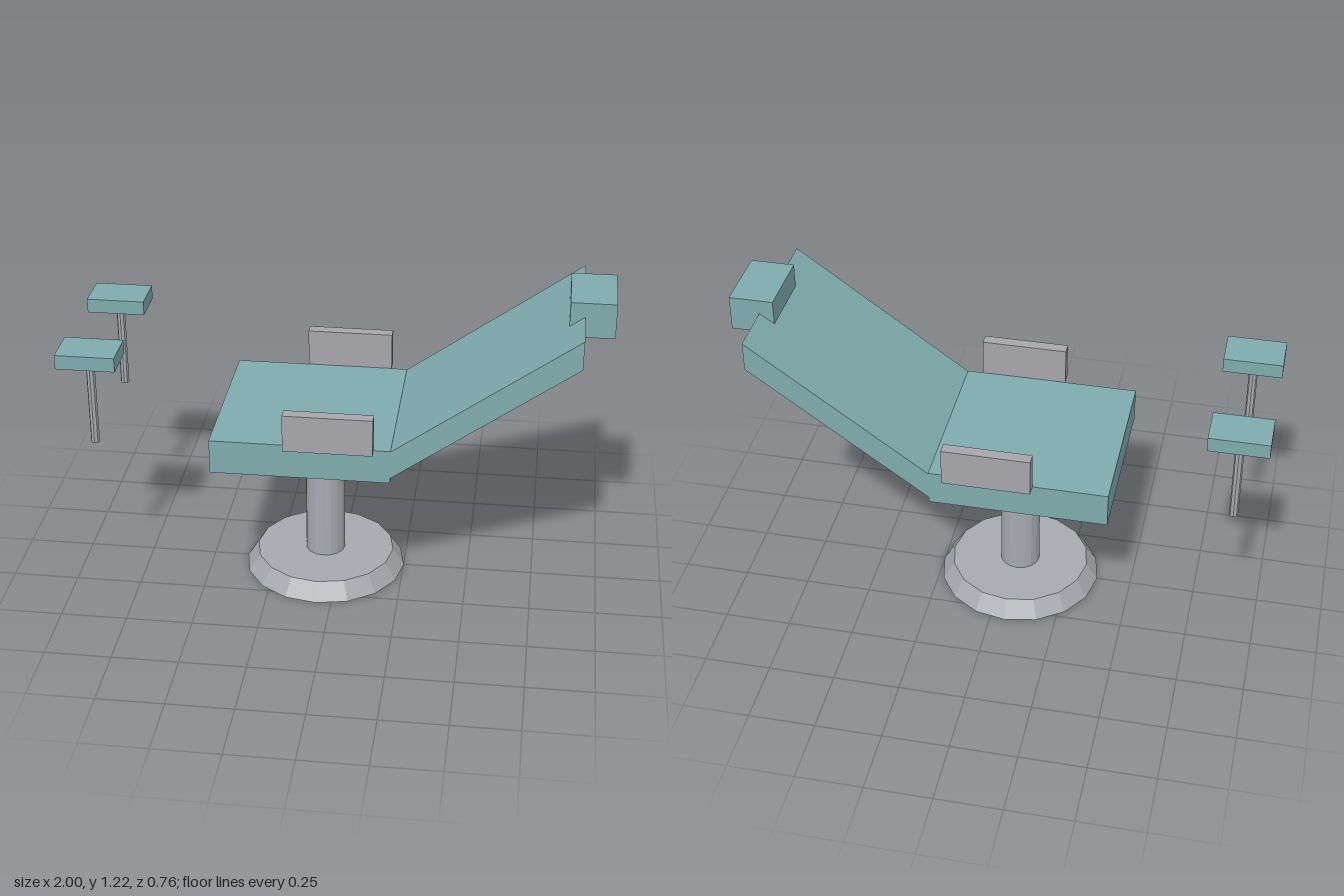
import * as THREE from 'three';

const material = (name, color) => {
  const m = new THREE.MeshStandardMaterial({ color, flatShading: true });
  m.name = name;
  return m;
};

export function createModel() {
  const model = new THREE.Group();
  model.name = 'reclinedChair';
  const teal = material('teal upholstery', 0x7fabad);
  const metal = material('grey metal', 0xa6a9ae);
  const plastic = material('warm grey plastic', 0xa6a5aa);

  const add = (name, geometry, mat, x = 0, y = 0, z = 0) => {
    const mesh = new THREE.Mesh(geometry, mat);
    mesh.name = name;
    mesh.position.set(x, y, z);
    model.add(mesh);
  };
  // Box given by its limits on each axis
  const box = (name, mat, [x0, x1], [y0, y1], [z0, z1]) =>
    add(name, new THREE.BoxGeometry(x1 - x0, y1 - y0, z1 - z0), mat,
      (x0 + x1) / 2, (y0 + y1) / 2, (z0 + z1) / 2);

  // Pedestal
  add('base', new THREE.CylinderGeometry(0.266, 0.31, 0.067, 16), metal, -0.058, 0.0335, 0);
  add('column', new THREE.CylinderGeometry(0.076, 0.076, 0.5, 16), metal, -0.058, 0.312, 0);

  // Seat and headrest
  box('seat', teal, [-0.444, 0.222], [0.56, 0.692], [-0.333, 0.333]);
  box('headrest', teal, [0.835, 1.0], [1.091, 1.224], [-0.132, 0.132]);

  // Sloping backrest with upright ends
  const side = new THREE.Shape([[0.222, 0.58], [0.889, 1.06], [0.889, 1.17], [0.222, 0.69]]
    .map(([x, y]) => new THREE.Vector2(x, y)));
  add('backrest', new THREE.ExtrudeGeometry(side, { depth: 0.666, bevelEnabled: false }),
    teal, 0, 0, -0.333);

  // Mirrored armrests and leg supports
  for (const s of [1, -1]) {
    const label = s > 0 ? 'front' : 'back';
    add(label + 'Armrest', new THREE.BoxGeometry(0.328, 0.144, 0.045), plastic,
      -0.002, 0.764, s * 0.3555);
    add(label + 'LegRest', new THREE.BoxGeometry(0.22, 0.055, 0.156), teal,
      -0.89, 0.973, s * 0.246);
    add(label + 'LegRestPole', new THREE.CylinderGeometry(0.0165, 0.0165, 0.333, 8), metal,
      -0.89, 0.781, s * 0.246);
  }
  return model;
}
